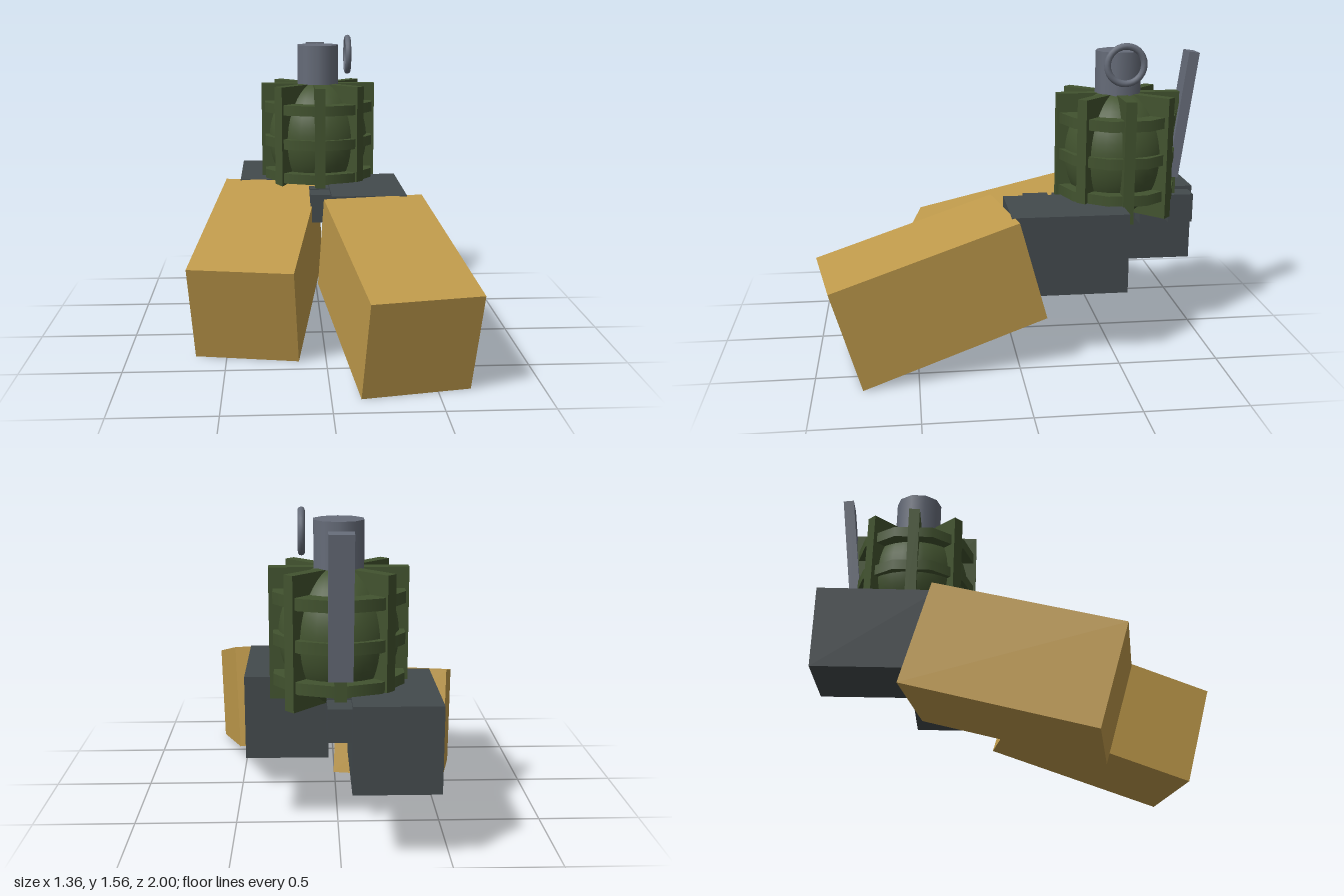
import * as THREE from 'three';

const mat = (name, color) => {
  const m = new THREE.MeshStandardMaterial({ color });
  m.name = name;
  return m;
};

export function createModel() {
  const tan = mat('tan sleeve', 0xbf9a4b);
  const glove = mat('dark glove', 0x434a4d);
  const green = mat('olive green', 0x42532f);
  const metal = mat('grey metal', 0x666c79);

  const root = new THREE.Group();
  const add = (parent, name, geometry, material, x = 0, y = 0, z = 0) => {
    const mesh = new THREE.Mesh(geometry, material);
    mesh.name = name;
    mesh.position.set(x, y, z);
    parent.add(mesh);
    return mesh;
  };

  // Arms: the right one is mirrored and set further back
  for (const [side, s, dz] of [['left', 1, 0], ['right', -1, -0.455]]) {
    const arm = new THREE.Group();
    arm.name = side + 'Arm';
    arm.position.z = dz;
    root.add(arm);

    const sleeve = add(arm, side + 'Sleeve', new THREE.BoxGeometry(0.528, 0.52, 0.95), tan, s * 0.33, 0.38, 0.432);
    sleeve.rotation.set(0.277, s * 0.175, 0, 'YXZ');

    add(arm, side + 'Hand', new THREE.BoxGeometry(0.395, 0.405, 0.58), glove, s * 0.245, 0.558, -0.255);

    // Three stub fingers wrapping inwards
    for (let i = 0; i < 3; i++) {
      add(arm, side + 'Finger', new THREE.BoxGeometry(0.16, 0.152, 0.13), glove, s * 0.02, 0.667, -0.145 - i * 0.156);
    }
  }

  // Grenade, centred on its own vertical axis
  const grenade = new THREE.Group();
  grenade.name = 'grenade';
  grenade.position.set(0, 0.98, -0.565);
  root.add(grenade);

  const body = add(grenade, 'body', new THREE.SphereGeometry(0.28, 32, 24), green);
  body.scale.y = 1.21;

  // Four crossing plates make eight vertical ribs
  for (let i = 0; i < 4; i++) {
    const rib = add(grenade, 'verticalRibs', new THREE.BoxGeometry(0.64, 0.62, 0.055), green);
    rib.rotation.y = i * Math.PI / 4;
  }

  // Horizontal bands
  for (const y of [-0.19, 0, 0.19]) {
    add(grenade, 'band', new THREE.CylinderGeometry(0.315, 0.315, 0.055, 10), green, 0, y - 0.005, 0);
  }

  add(grenade, 'neck', new THREE.CylinderGeometry(0.12, 0.12, 0.225, 10), metal, 0, 0.4125, 0);

  const ring = add(grenade, 'pullRing', new THREE.TorusGeometry(0.093, 0.017, 10, 28), metal, 0.168, 0.47, 0);
  ring.rotation.y = Math.PI / 2;

  const lever = add(grenade, 'lever', new THREE.BoxGeometry(0.11, 0.66, 0.055), metal, 0, 0.187, -0.34);
  lever.rotation.x = -0.13;

  return root;
}
